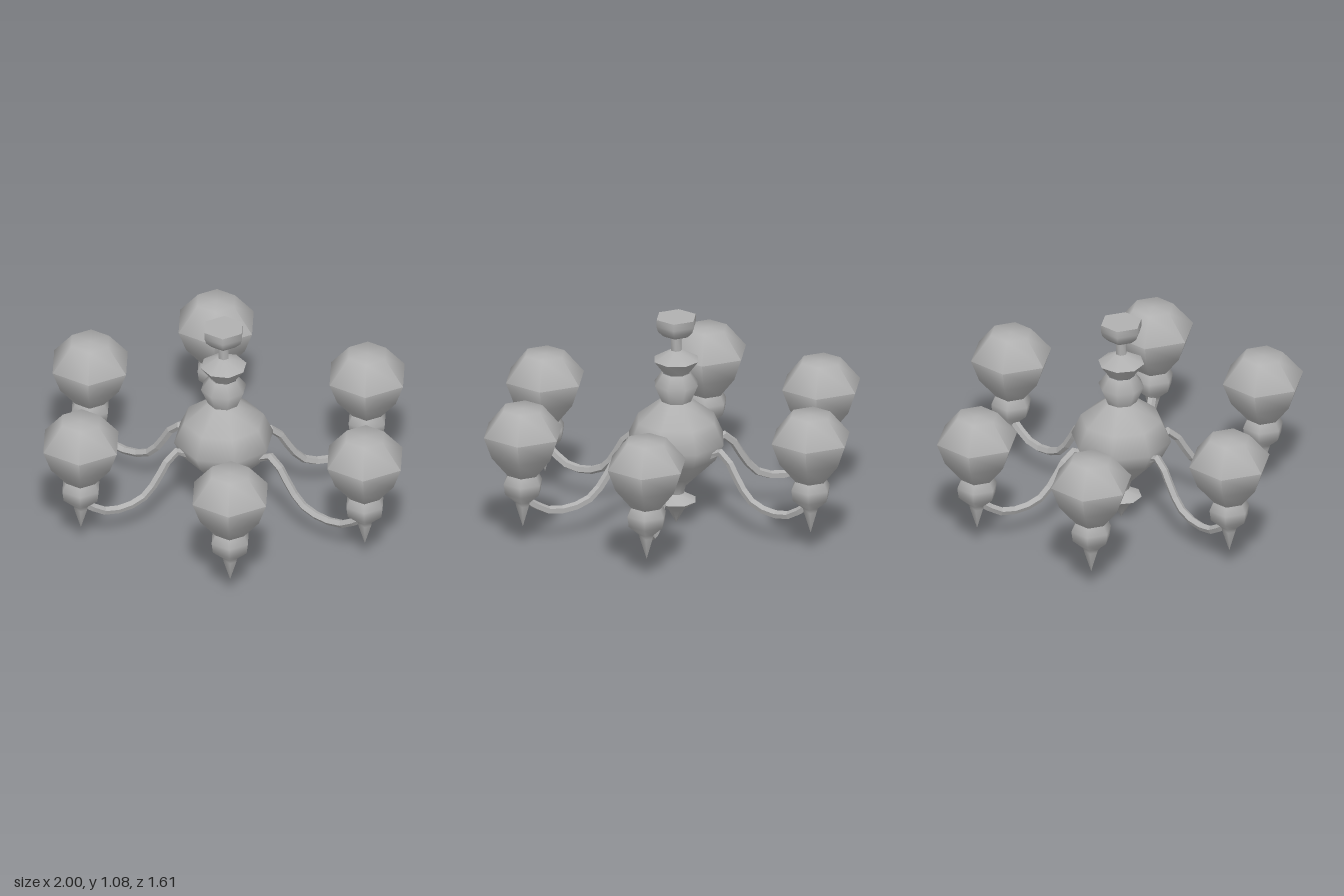
import * as THREE from 'three';
import { toCreasedNormals } from 'three/addons/utils/BufferGeometryUtils.js';

const AXIS_X = -0.024; // the stem sits slightly off the middle

export function createModel() {
  const model = new THREE.Group();
  model.name = 'chandelier';
  const grey = new THREE.MeshStandardMaterial({ color: 0xb0b0b0 });
  grey.name = 'plain grey';

  // Turned part: profile of [radius, height] from bottom to top, a corner on the x axis
  const turned = (profile, sides) => toCreasedNormals(
    new THREE.LatheGeometry(profile.map(([r, y]) => new THREE.Vector2(r, y)), sides, Math.PI / 2), 1.25);

  const add = (name, geometry, parent, x = 0, z = 0) => {
    const mesh = new THREE.Mesh(geometry, grey);
    mesh.name = name;
    mesh.position.set(x, 0, z);
    parent.add(mesh);
  };

  // Central stem, bottom to top
  const stem = new THREE.Group();
  stem.name = 'stem';
  model.add(stem);
  add('finial', turned([[0, 0], [0.042, 0.075], [0.102, 0.12], [0.038, 0.157]], 8), stem, AXIS_X);
  add('body', turned([[0.038, 0.155], [0.05, 0.2], [0.1, 0.25], [0.205, 0.355], [0.248, 0.44],
    [0.2, 0.545], [0.075, 0.645]], 8), stem, AXIS_X);
  add('neck', turned([[0.075, 0.64], [0.113, 0.73], [0.07, 0.79]], 8), stem, AXIS_X);
  add('collar', turned([[0.065, 0.79], [0.114, 0.856], [0.03, 0.905], [0, 0.905]], 8), stem, AXIS_X);
  add('rod', turned([[0.028, 0.89], [0.028, 1.0]], 6), stem, AXIS_X);
  add('ceilingRose', turned([[0, 0.985], [0.067, 0.985], [0.097, 1.015], [0.105, 1.042],
    [0.104, 1.077], [0, 1.077]], 6), stem, AXIS_X);

  // Lamp pieces shared by all six arms
  const cup = turned([[0, 0.107], [0.036, 0.22], [0.04, 0.24], [0.095, 0.29], [0.102, 0.343], [0.08, 0.385]], 6);
  const globe = turned([[0.08, 0.385], [0.165, 0.49], [0.207, 0.602], [0.104, 0.727], [0, 0.727]], 6);

  // Arm path: fraction of the way from stem to lamp, and height
  const armPath = [[0.25, 0.39], [0.31, 0.422], [0.37, 0.4], [0.455, 0.3], [0.55, 0.205],
    [0.7, 0.163], [0.86, 0.178], [0.95, 0.23], [0.99, 0.25]];

  const lamps = [[0.79, 0], [0.405, -0.63], [-0.465, -0.63], [-0.793, 0], [-0.455, 0.62], [0.405, 0.62]];
  lamps.forEach(([x, z], i) => {
    const lamp = new THREE.Group();
    lamp.name = `lamp${i + 1}`;
    model.add(lamp);
    const curve = new THREE.CatmullRomCurve3(armPath.map(([t, y]) =>
      new THREE.Vector3(AXIS_X + (x - AXIS_X) * t, y, z * t)));
    const arm = new THREE.TubeGeometry(curve, 10, 0.021, 5).toNonIndexed();
    arm.computeVertexNormals(); // faceted tube
    add('arm', arm, lamp);
    add('cup', cup, lamp, x, z);
    add('globe', globe, lamp, x, z);
  });

  return model;
}
